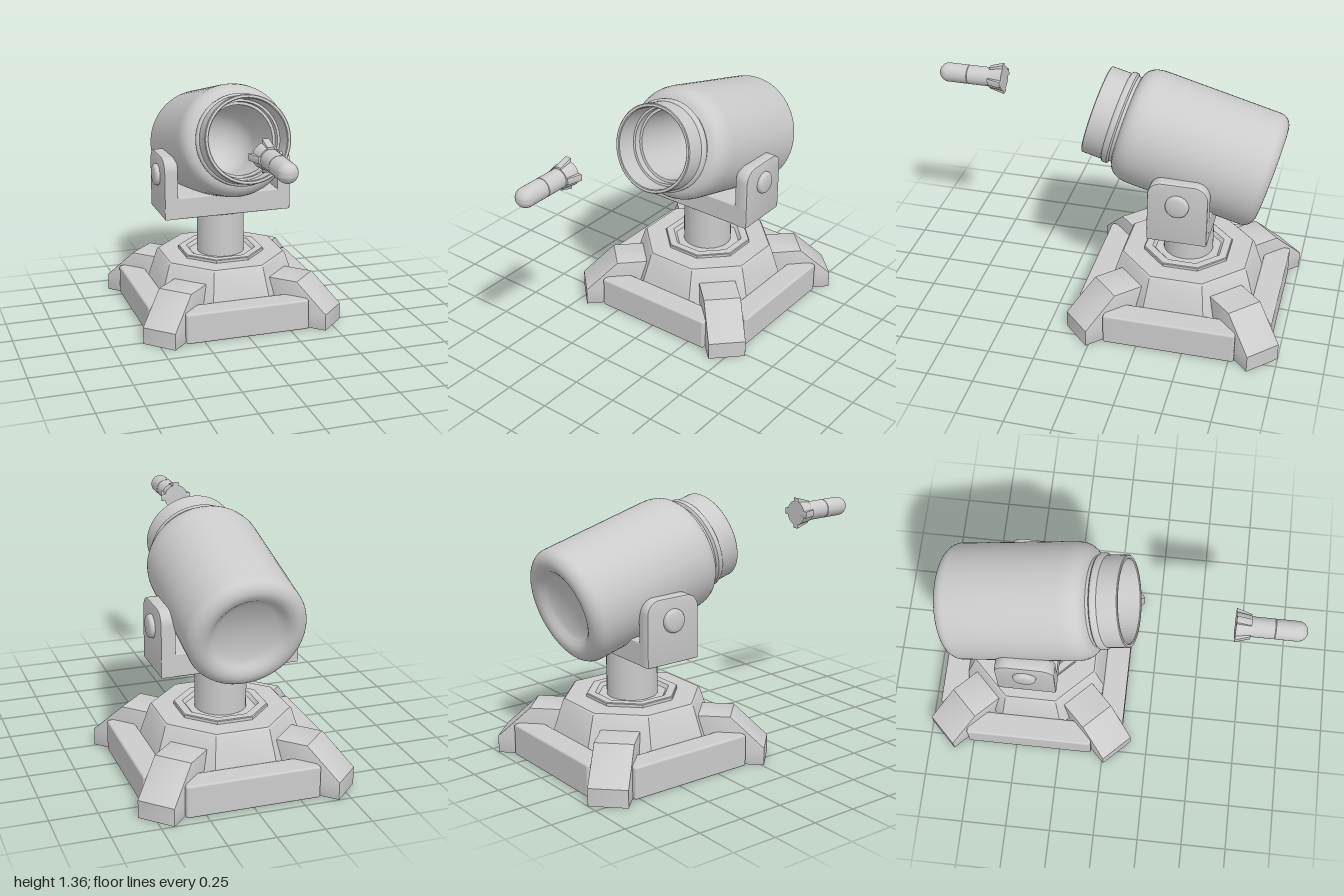
import * as THREE from 'three';
import { toCreasedNormals } from 'three/addons/utils/BufferGeometryUtils.js';
import { RoundedBoxGeometry } from 'three/addons/geometries/RoundedBoxGeometry.js';

const material = new THREE.MeshStandardMaterial({ color: 0xcccccc });
const openMaterial = new THREE.MeshStandardMaterial({ color: 0xcccccc, side: THREE.DoubleSide });
const OCT = Math.cos(Math.PI / 8);

function add(parent, name, geometry, x = 0, y = 0, z = 0) {
  const mesh = new THREE.Mesh(geometry, material);
  mesh.name = name;
  mesh.position.set(x, y, z);
  parent.add(mesh);
  return mesh;
}

const vectors = (pts) => pts.map(([x, y]) => new THREE.Vector2(x, y));

// Turned part; profile is [radius, height], outside running upwards
const turned = (pts, sides = 48) =>
  toCreasedNormals(new THREE.LatheGeometry(vectors(pts), sides, 0), 0.6);

// Eight-sided turned part with flats facing the axes; profile is [apothem, height]
function octagonal(pts) {
  const profile = vectors(pts.map(([a, y]) => [a / OCT, y]));
  return toCreasedNormals(new THREE.LatheGeometry(profile, 8, Math.PI / 8), 0.6);
}

// Extrusion centred on its depth, with bevels kept inside the outline
function extruded(shape, depth, bevel) {
  const g = new THREE.ExtrudeGeometry(shape, {
    depth: depth - 2 * bevel, bevelThickness: bevel, bevelSize: bevel,
    bevelOffset: -bevel, bevelSegments: 2, curveSegments: 10,
  });
  g.translate(0, 0, bevel - depth / 2);
  return toCreasedNormals(g, 0.6);
}

// Drops the flat underside of a non-indexed geometry, leaving a hollow cover
function openBelow(geometry) {
  geometry.computeBoundingBox();
  const limit = geometry.boundingBox.min.y + 1e-4;
  const p = geometry.attributes.position, n = geometry.attributes.normal;
  const positions = [], normals = [];
  for (let i = 0; i < p.count; i += 3) {
    if (Math.max(p.getY(i), p.getY(i + 1), p.getY(i + 2)) < limit) continue;
    for (let j = i; j < i + 3; j++) {
      positions.push(p.getX(j), p.getY(j), p.getZ(j));
      normals.push(n.getX(j), n.getY(j), n.getZ(j));
    }
  }
  return new THREE.BufferGeometry()
    .setAttribute('position', new THREE.Float32BufferAttribute(positions, 3))
    .setAttribute('normal', new THREE.Float32BufferAttribute(normals, 3));
}

// Points of an arc in a [radius, height] profile
function arc(cx, cy, r, from, to, n = 8) {
  return Array.from({ length: n + 1 }, (_, i) => {
    const a = from + (to - from) * i / n;
    return [cx + r * Math.cos(a), cy + r * Math.sin(a)];
  });
}

function createBase() {
  const base = new THREE.Group();
  base.name = 'base';

  // Tapered platform and raised collar with a sunken middle
  add(base, 'platform', octagonal([
    [0, 0.12], [0.408, 0.12], [0.344, 0.332], [0.336, 0.34], [0, 0.34]]));
  add(base, 'collar', octagonal([
    [0.228, 0.335], [0.228, 0.355], [0.224, 0.359], [0.185, 0.359], [0.17, 0.342], [0, 0.342]]));

  // Four separate hollow walls and four hollow diagonal feet
  const wallGeometry = openBelow(
    new RoundedBoxGeometry(0.135, 0.175, 0.71, 2, 0.012).translate(0.4575, 0.0875, 0));
  const foot = new THREE.Shape(vectors([
    [0.335, 0], [0.715, 0], [0.715, 0.095], [0.535, 0.262], [0.335, 0.262]]));
  const footGeometry = openBelow(extruded(foot, 0.205, 0.003));
  for (let i = 0; i < 4; i++) {
    const wall = add(base, 'baseWall', wallGeometry);
    wall.rotation.y = i * Math.PI / 2;
    wall.material = openMaterial;
    const leg = add(base, 'foot', footGeometry);
    leg.rotation.y = (i + 0.5) * Math.PI / 2;
    leg.material = openMaterial;
  }

  add(base, 'pillar', new THREE.CylinderGeometry(0.135, 0.135, 0.3, 32), 0, 0.47, 0);
  return base;
}

function createYoke() {
  const yoke = new THREE.Group();
  yoke.name = 'yoke';
  add(yoke, 'yokeFloor', new RoundedBoxGeometry(0.735, 0.125, 0.316, 2, 0.008), 0, 0.6605, 0);

  // Upright cheek with rounded top corners
  const w = 0.158, c = 0.075, top = 0.946;
  const cheek = new THREE.Shape();
  cheek.moveTo(-w, 0.6);
  cheek.lineTo(w, 0.6);
  cheek.lineTo(w, top - c);
  cheek.absarc(w - c, top - c, c, 0, Math.PI / 2);
  cheek.absarc(-w + c, top - c, c, Math.PI / 2, Math.PI);
  cheek.closePath();
  const cheekGeometry = extruded(cheek, 0.078, 0.008).rotateY(Math.PI / 2);
  const pinGeometry = turned([
    [0.062, 0], [0.062, 0.02], ...arc(0.044, 0.02, 0.018, 0, Math.PI / 2, 4), [0, 0.038]], 24);

  for (const side of [1, -1]) {
    add(yoke, 'cheek', cheekGeometry, side * 0.329, 0, 0);
    add(yoke, 'pivotPin', pinGeometry, side * 0.355, 0.825, 0).rotation.z = -side * Math.PI / 2;
  }
  return yoke;
}

// Hollow barrel, muzzle at height 0 and pointing up its own axis
function createBarrel() {
  return turned([
    // dished rear
    [0, -0.912], [0.16, -0.928], [0.185, -0.942], [0.205, -0.962], [0.225, -0.973], [0.245, -0.976],
    // body and rounded shoulder
    ...arc(0.245, -0.911, 0.065, -Math.PI / 2, 0), [0.311, -0.3],
    [0.31, -0.265], [0.304, -0.232], [0.293, -0.207], [0.278, -0.188], [0.26, -0.176], [0.236, -0.168],
    // neck ring and muzzle
    [0.236, -0.152], [0.247, -0.148], [0.251, -0.143], [0.251, -0.12], [0.247, -0.114],
    [0.239, -0.11], [0.239, -0.004], [0.235, 0],
    // bore with a rounded end
    [0.222, 0], [0.218, -0.004], [0.218, -0.125], [0.205, -0.125], [0.205, -0.165],
    [0.19, -0.165], ...arc(0, -0.5, 0.19, 0, -Math.PI / 2, 10),
  ], 64);
}

// Small finned shell flying ahead of the muzzle, built nose up
function createShell() {
  const shell = new THREE.Group();
  shell.name = 'shell';
  add(shell, 'shellBody', turned([
    [0, 0], [0.052, 0], [0.052, 0.197], [0.0505, 0.199], [0.052, 0.201],
    ...arc(0, 0.312, 0.052, 0, Math.PI / 2, 10)], 32));
  add(shell, 'tailCone', turned([
    [0, 0], [0.068, 0], [0.057, 0.078], [0, 0.08]], 24));
  const fin = new THREE.Shape(vectors([
    [0.03, 0], [0.086, 0], [0.08, 0.02], [0.062, 0.078], [0.03, 0.078]]));
  const finGeometry = extruded(fin, 0.036, 0.002);
  for (let i = 0; i < 4; i++) {
    add(shell, 'tailFin', finGeometry).rotation.y = i * Math.PI / 2;
  }
  return shell;
}

export function createModel() {
  const model = new THREE.Group();
  model.name = 'cannonTurret';

  const turret = new THREE.Group();
  turret.name = 'turret';
  turret.position.z = -0.423;
  turret.add(createBase(), createYoke());

  // Barrel tilted upwards
  add(turret, 'barrel', createBarrel(), 0, 1.125, 0.515).rotation.x = Math.PI / 2 - 0.263;
  model.add(turret);

  const shell = createShell();
  shell.rotation.x = Math.PI / 2;
  shell.position.set(-0.095, 1.188, 0.636);
  model.add(shell);
  return model;
}
